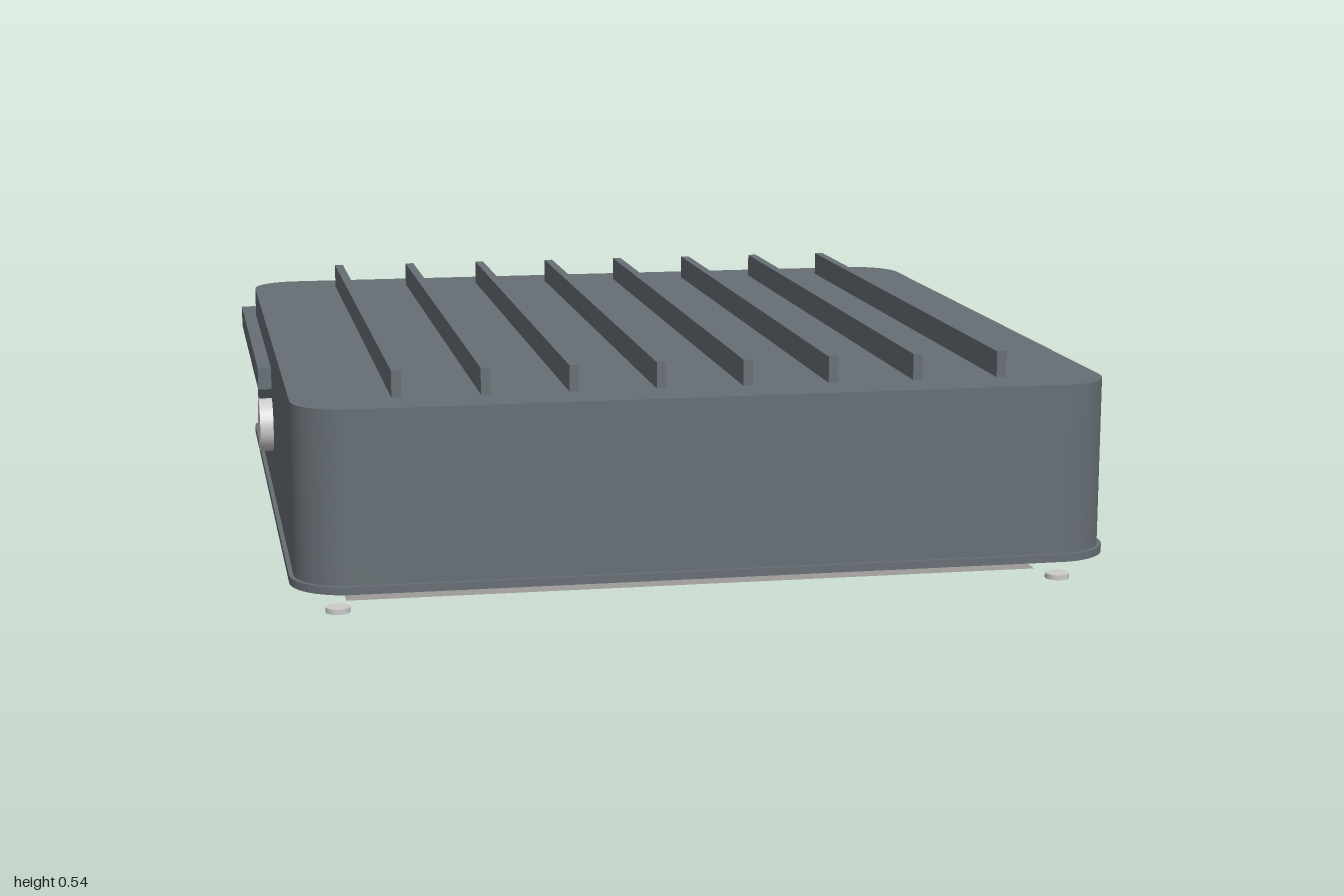
import * as THREE from 'three';
import { toCreasedNormals } from 'three/addons/utils/BufferGeometryUtils.js';

const mat = (color, extra = {}) => new THREE.MeshStandardMaterial({ color, ...extra });
const housingMat = mat(0x666e74);
const steelMat = mat(0xcccccc);
const reflectorMat = mat(0x9a9896, { side: THREE.DoubleSide });
const ledMat = mat(0xc8c49a);
const ZC = 0.015; // centre of the housing in z

export function createModel() {
  const group = new THREE.Group();
  group.name = 'floodlight';

  const add = (name, geometry, material, x = 0, y = 0, z = 0) => {
    const mesh = new THREE.Mesh(geometry, material);
    mesh.name = name;
    mesh.position.set(x, y, z);
    group.add(mesh);
    return mesh;
  };

  // Box given by its limits on each axis
  const box = (name, material, [x0, x1], [y0, y1], [z0, z1]) =>
    add(name, new THREE.BoxGeometry(x1 - x0, y1 - y0, z1 - z0), material,
      (x0 + x1) / 2, (y0 + y1) / 2, (z0 + z1) / 2);

  // Upright slab with rounded vertical corners
  const roundedSlab = (name, material, hx, hz, r, y0, y1) => {
    const s = new THREE.Shape();
    s.moveTo(hx - r, -hz);
    s.absarc(hx - r, -hz + r, r, -Math.PI / 2, 0);
    s.absarc(hx - r, hz - r, r, 0, Math.PI / 2);
    s.absarc(-hx + r, hz - r, r, Math.PI / 2, Math.PI);
    s.absarc(-hx + r, -hz + r, r, Math.PI, Math.PI * 1.5);
    s.closePath();
    const g = new THREE.ExtrudeGeometry(s, { depth: y1 - y0, bevelEnabled: false, curveSegments: 10 });
    g.rotateX(-Math.PI / 2);
    return add(name, toCreasedNormals(g, 0.6), material, 0, y0, ZC);
  };

  // Housing, its bottom flange and the lens pane below
  roundedSlab('housing', housingMat, 0.93, 0.972, 0.12, 0.08, 0.475);
  roundedSlab('flange', housingMat, 0.94, 0.982, 0.13, 0.065, 0.083);
  roundedSlab('lens', steelMat, 0.82, 0.79, 0.05, 0.048, 0.06);

  // Cooling fins along the top
  for (let i = 0; i < 8; i++) {
    const x = -0.695 + i * 0.1986;
    box('coolingFin', housingMat, [x - 0.011, x + 0.011], [0.465, 0.535], [-0.84, 0.865]);
  }

  // Mounting bracket: two arms and a rear bar
  for (const s of [-1, 1]) {
    const arm = box('bracketArm', housingMat, [0.922, 0.963], [0.345, 0.4], [-1, 0.015]);
    arm.position.x *= s;
  }
  box('bracketBar', housingMat, [-0.93, 0.93], [0.345, 0.4], [-0.975, -0.8]);

  // Pivot knobs on both sides
  const knob = new THREE.CylinderGeometry(0.066, 0.066, 0.04, 32).rotateZ(Math.PI / 2);
  for (const s of [-1, 1]) add('pivotKnob', knob, steelMat, s * 0.943, 0.255, ZC);

  // Reflector: sloped walls open downward, closed by a flat plate
  const walls = new THREE.CylinderGeometry(Math.SQRT2, Math.SQRT2, 1, 4, 1, true).rotateY(Math.PI / 4);
  const p = walls.attributes.position;
  for (let i = 0; i < p.count; i++) {
    const top = p.getY(i) > 0;
    p.setXYZ(i, Math.sign(p.getX(i)) * (top ? 0.6 : 0.81), top ? 0.04 : 0,
      Math.sign(p.getZ(i)) * (top ? 0.515 : 0.785));
  }
  add('reflectorWalls', toCreasedNormals(walls, 0.05), reflectorMat, 0, 0, ZC);
  box('ledPlate', reflectorMat, [-0.6, 0.6], [0.039, 0.044], [ZC - 0.515, ZC + 0.515]);

  // LED chips, five by four
  const chip = new THREE.BoxGeometry(0.09, 0.01, 0.07);
  for (let i = 0; i < 5; i++)
    for (let j = 0; j < 4; j++)
      add('ledChip', chip, ledMat, (i - 2) * 0.22, 0.036, ZC + (j - 1.5) * 0.226);

  // Corner screws
  const screw = new THREE.CylinderGeometry(0.028, 0.028, 0.012, 16);
  for (const sx of [-1, 1])
    for (const sz of [-1, 1])
      add('cornerScrew', screw, steelMat, sx * 0.835, 0.006, ZC + sz * 0.875);

  return group;
}
